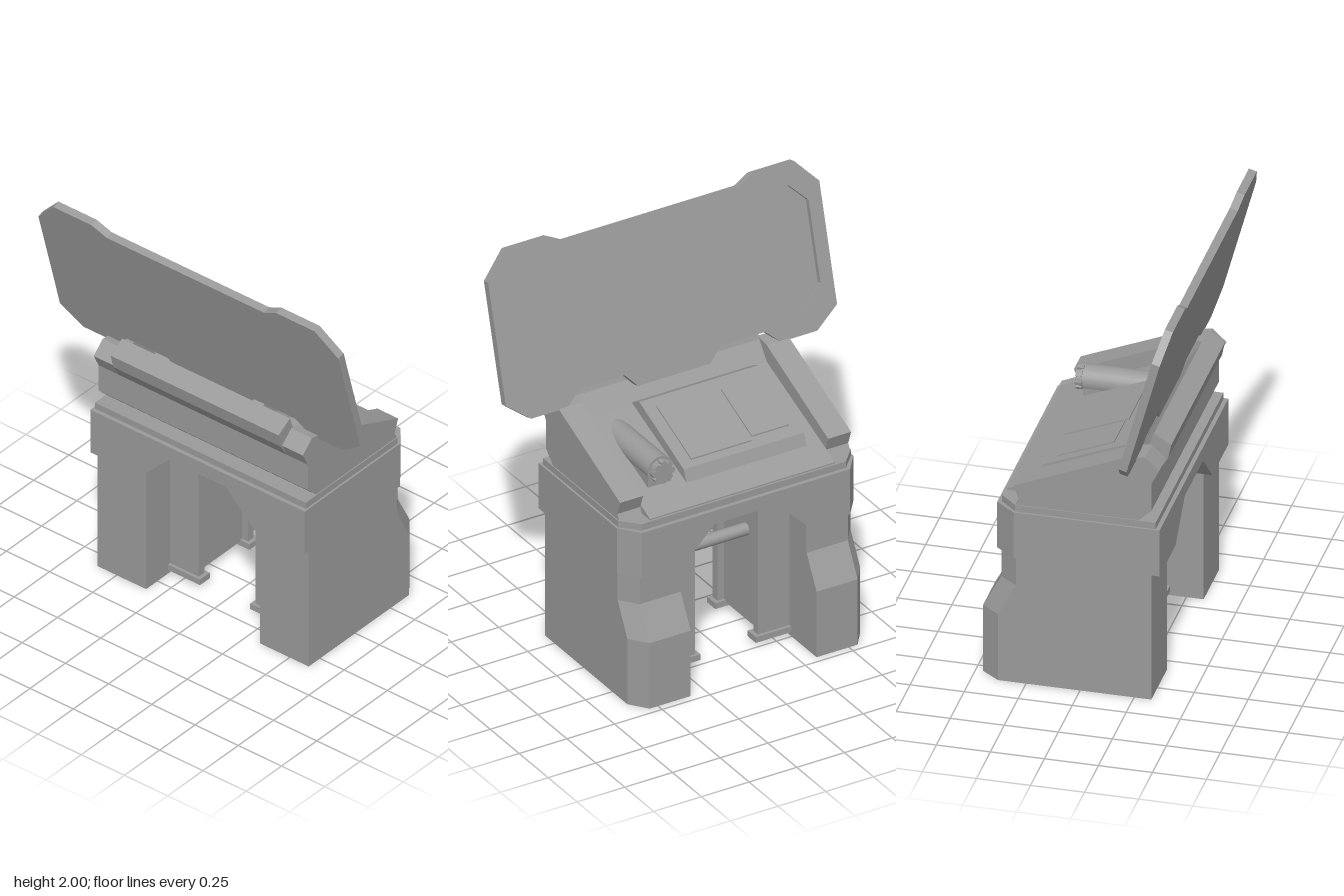
import * as THREE from 'three';

const color = 0x9a9a9a;
const mat = new THREE.MeshStandardMaterial({ color, flatShading: true });
const matDouble = new THREE.MeshStandardMaterial({ color, flatShading: true, side: THREE.DoubleSide });
const matSmooth = new THREE.MeshStandardMaterial({ color });

const toShape = pts => new THREE.Shape(pts.map(p => new THREE.Vector2(p[0], p[1])));

// Flat-faced skin over matching rings of [x, y, z] points
function loft(rings, capped = true) {
  const pos = [];
  const tri = (a, b, c) => pos.push(...a, ...b, ...c);
  const n = rings[0].length;
  for (let i = 0; i < rings.length - 1; i++) {
    for (let j = 0; j < n; j++) {
      const k = (j + 1) % n;
      tri(rings[i][j], rings[i][k], rings[i + 1][k]);
      tri(rings[i][j], rings[i + 1][k], rings[i + 1][j]);
    }
  }
  if (capped) {
    const first = rings[0], last = rings[rings.length - 1];
    for (let j = 1; j < n - 1; j++) {
      tri(first[0], first[j + 1], first[j]);
      tri(last[0], last[j], last[j + 1]);
    }
  }
  const g = new THREE.BufferGeometry();
  g.setAttribute('position', new THREE.Float32BufferAttribute(pos, 3));
  g.computeVertexNormals();
  return g;
}

// Side profile in x, y swept from z0 to z1
function sweep(pts, z0, z1) {
  return new THREE.ExtrudeGeometry(toShape(pts), { depth: z1 - z0, bevelEnabled: false }).translate(0, 0, z0);
}

// Block from min and max corners
function block(x0, x1, y0, y1, z0, z1) {
  return new THREE.BoxGeometry(x1 - x0, y1 - y0, Math.abs(z1 - z0))
    .translate((x0 + x1) / 2, (y0 + y1) / 2, (z0 + z1) / 2);
}

// Outline in z, y leaning back like the lid, set back from its front plane and given thickness
function leaning(shape, setBack, thickness) {
  const lean = 0.271;
  const g = new THREE.ExtrudeGeometry(shape, { depth: thickness, bevelEnabled: false });
  g.rotateY(-Math.PI / 2).translate(-setBack, 0, 0);
  const p = g.attributes.position;
  for (let i = 0; i < p.count; i++) {
    const x = p.getX(i), y = p.getY(i);
    p.setX(i, x - 0.22 - lean * (y - 1.225));
    p.setY(i, y + lean * x);
  }
  g.computeVertexNormals();
  return g;
}

// Slab across z: stations are [z, front x, underside y]
function slab(stations, back, top) {
  return loft(stations.map(([z, xf, yb]) => [[back, yb, z], [xf, yb, z], [xf, top, z], [back, top, z]]));
}

export function createModel() {
  const model = new THREE.Group();
  const add = (parent, name, geometry, material = mat) => {
    const mesh = new THREE.Mesh(geometry, material);
    mesh.name = name;
    parent.add(mesh);
  };
  const group = name => {
    const g = new THREE.Group();
    g.name = name;
    model.add(g);
    return g;
  };

  // Hollow legs with inner columns and feet
  for (const s of [1, -1]) {
    const leg = group(s > 0 ? 'leftLeg' : 'rightLeg');
    const rings = [[0, 0.465], [0.34, 0.465], [0.5, 0.38], [0.65, 0.38]].map(([y, xf]) => {
      const ring = [[-0.33, 0.61], [xf - 0.085, 0.61], [xf, 0.545], [xf, 0.33], [-0.33, 0.33]]
        .map(([x, z]) => [x, y, z * s]);
      return s > 0 ? ring : ring.reverse();
    });
    add(leg, 'legShell', loft(rings, false), matDouble);
    add(leg, 'columnWeb', block(-0.12, 0.2, 0.04, 0.78, s * 0.2, s * 0.34));
    add(leg, 'footWeb', block(-0.13, 0.2, 0.02, 0.04, s * 0.22, s * 0.33));
    for (const x of [-0.14, 0.21]) {
      add(leg, 'columnFlange', block(x - 0.02, x + 0.02, 0.05, 0.81, s * 0.165, s * 0.34));
      add(leg, 'foot', block(x - 0.035, x + 0.035, 0.02, 0.05, s * 0.145, s * 0.33));
    }
  }

  // Cross pipes between the legs
  for (const [name, x, y, r] of [['largePipe', -0.06, 0.675, 0.075], ['smallPipe', 0.07, 0.51, 0.03]]) {
    add(model, name, new THREE.CylinderGeometry(r, r, 0.44, 24).rotateX(Math.PI / 2).translate(x, y, 0), matSmooth);
  }

  // Arched cap and the thin deck on it
  add(model, 'archedCap', slab([
    [-0.62, 0.305, 0.645], [-0.545, 0.4, 0.645], [-0.33, 0.4, 0.645], [-0.165, 0.4, 0.81],
    [0.165, 0.4, 0.81], [0.33, 0.4, 0.645], [0.545, 0.4, 0.645], [0.62, 0.305, 0.645]], -0.37, 0.88));
  add(model, 'deck', slab([
    [-0.61, 0.3, 0.88], [-0.535, 0.38, 0.88], [0.535, 0.38, 0.88], [0.61, 0.3, 0.88]], -0.35, 0.913));

  // Sloped console with its rear ridge, and the cheeks either side
  const consoleGroup = group('console');
  add(consoleGroup, 'consoleBody', sweep([
    [-0.27, 0.912], [0.37, 0.912], [0.37, 0.92], [-0.22, 1.144], [-0.285, 1.23], [-0.31, 1.3],
    [-0.39, 1.25], [-0.375, 1.18], [-0.33, 1.11], [-0.33, 0.97]], -0.485, 0.485));
  for (const s of [1, -1]) {
    const z = s > 0 ? 0.485 : -0.605;
    add(consoleGroup, 'cheek', sweep([
      [-0.27, 0.912], [0.3, 0.912], [0.285, 0.94], [0.31, 1.01], [-0.22, 1.23], [-0.3, 1.24],
      [-0.365, 1.18], [-0.33, 1.11], [-0.33, 0.97]], z, z + 0.12));
  }

  // Raised control panel and its two screens
  add(consoleGroup, 'controlPanel', sweep([
    [-0.22, 1.11], [0.2, 0.95], [0.25, 0.962], [0.225, 1.023], [-0.16, 1.181], [-0.22, 1.15]], -0.41, 0.22));
  const topY = x => 1.115 - 0.41 * x;
  for (const [x0, x1, z0, z1] of [[-0.11, 0.19, -0.155, 0.16], [-0.095, 0.17, -0.365, -0.17]]) {
    add(consoleGroup, 'screen', sweep([
      [x0, topY(x0) - 0.01], [x1, topY(x1) - 0.01], [x1, topY(x1) + 0.008], [x0, topY(x0) + 0.008]], z0, z1));
  }

  // Barrel with notched dial, half sunk in the slope
  const barrel = group('barrel');
  const rod = (x0, x1, r) => new THREE.CylinderGeometry(r, r, x1 - x0, 24)
    .rotateZ(Math.PI / 2).translate((x0 + x1) / 2, 1.06, 0.342);
  add(barrel, 'barrelBody', rod(-0.2, 0.218, 0.065), matSmooth);
  add(barrel, 'dialNeck', rod(0.21, 0.235, 0.05), matSmooth);
  add(barrel, 'barrelSupport', block(-0.1, 0.215, 0.94, 1.06, 0.282, 0.402));
  const teeth = [];
  for (let i = 0; i < 8; i++) {
    for (const [da, r] of [[-0.27, 0.056], [0, 0.058], [0.27, 0.056], [0.29, 0.044], [0.5, 0.044]]) {
      const a = i * Math.PI / 4 + da;
      teeth.push([r * Math.cos(a), r * Math.sin(a)]);
    }
  }
  add(barrel, 'dial', new THREE.ExtrudeGeometry(toShape(teeth), { depth: 0.03, bevelEnabled: false })
    .rotateY(Math.PI / 2).translate(0.225, 1.06, 0.342));

  // Leaning lid: frame with an opening and a recessed panel
  const mirrored = pts => pts.concat(pts.slice().reverse().map(([z, y]) => [-z, y]));
  const outline = mirrored([[0.19, 1.225], [0.25, 1.29], [0.485, 1.29], [0.56, 1.225], [0.75, 1.225],
    [0.868, 1.315], [0.868, 1.88], [0.755, 2.0], [0.535, 2.0], [0.455, 1.96]]);
  const opening = mirrored([[0.705, 1.33], [0.8, 1.43], [0.8, 1.81], [0.71, 1.9]]);
  const lid = group('lid');
  const frame = toShape(outline);
  frame.holes.push(toShape(opening));
  add(lid, 'lidFrame', leaning(frame, 0, 0.037));
  add(lid, 'lidPanel', leaning(toShape(opening), 0.024, 0.013));

  return model;
}
